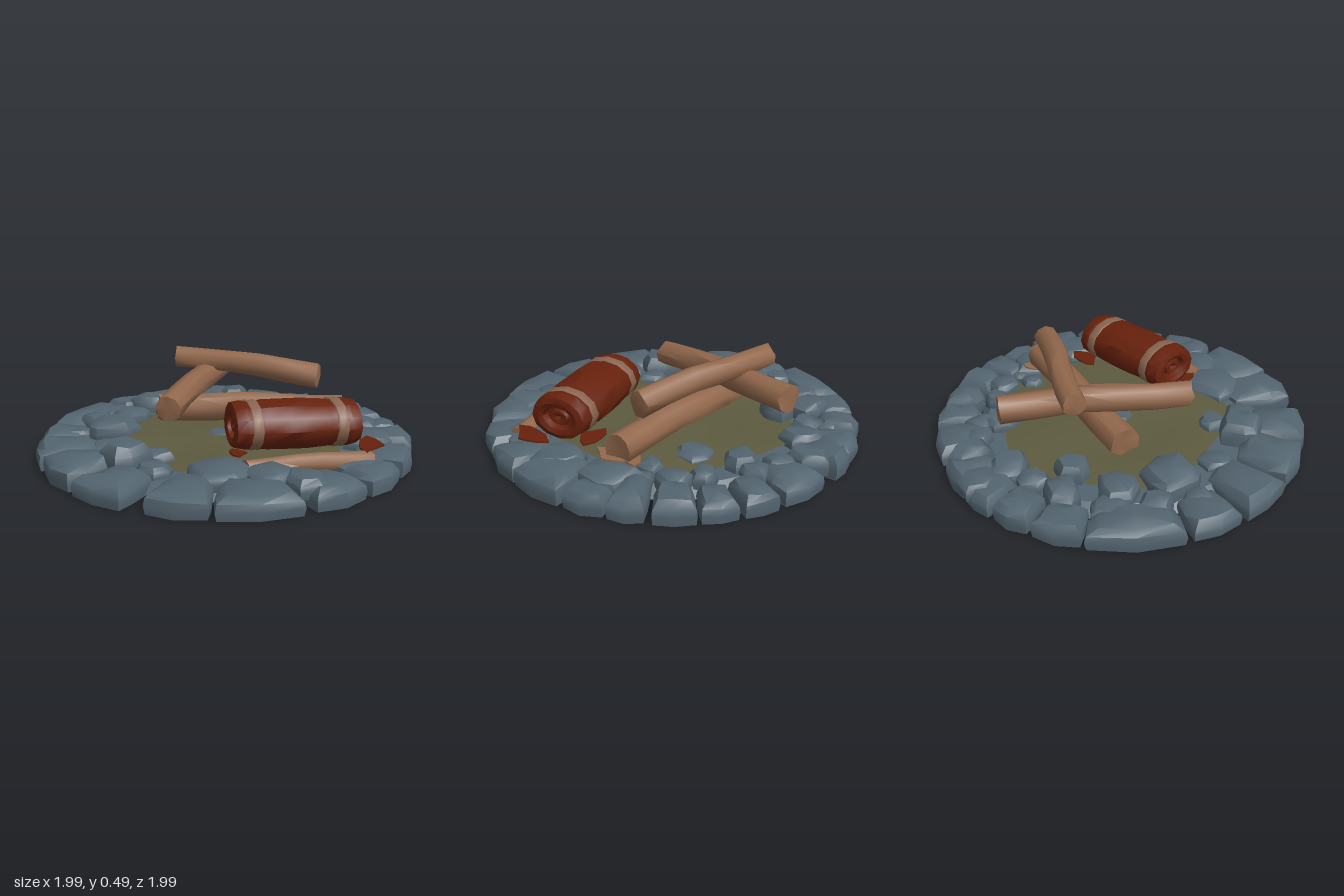
import * as THREE from 'three';
import { toCreasedNormals } from 'three/addons/utils/BufferGeometryUtils.js';

const mat = (name, color, side = THREE.FrontSide) => {
  const m = new THREE.MeshStandardMaterial({ color, side });
  m.name = name;
  return m;
};
const V = (x, y, z) => new THREE.Vector3(x, y, z);

// repeatable noise in -1..1 for a position
function noise(x, y, z) {
  const s = Math.sin(Math.round(x * 1e3) * 12.99 + Math.round(y * 1e3) * 78.23 + Math.round(z * 1e3) * 37.72) * 4375.85;
  return (s - Math.floor(s)) * 2 - 1;
}

// rock: outline of [x, z] points stacked in scaled rings, closed with a domed top
function rockGeometry(outline, base, top) {
  const n = outline.length;
  const cx = outline.reduce((s, p) => s + p[0], 0) / n;
  const cz = outline.reduce((s, p) => s + p[1], 0) / n;
  const h = top - base;
  const pos = [], index = [];
  for (const [scale, t] of [[0.96, 0], [1, 0.36], [0.96, 0.66], [0.72, 0.92]]) {
    outline.forEach(([x, z]) => {
      const wobble = t > 0.5 ? noise(x, t, z) * 0.08 * h : 0;
      pos.push(cx + (x - cx) * scale, base + h * t + wobble, cz + (z - cz) * scale);
    });
  }
  pos.push(cx, top, cz, cx, base, cz);
  for (let i = 0; i < n; i++) {
    const j = (i + 1) % n;
    for (let r = 0; r < 3; r++) {
      const a = r * n, b = a + n;
      index.push(a + i, b + i, a + j, b + i, b + j, a + j);
    }
    index.push(4 * n, 3 * n + j, 3 * n + i, 4 * n + 1, i, j);
  }
  const g = new THREE.BufferGeometry();
  g.setAttribute('position', new THREE.Float32BufferAttribute(pos, 3));
  g.setIndex(index);
  return toCreasedNormals(g, 0.75);
}

// place an object so its local y runs from a to b and its local z points up
function alongAxis(obj, a, b) {
  const dir = b.clone().sub(a).normalize();
  const side = dir.clone().cross(V(0, 1, 0)).normalize();
  obj.quaternion.setFromRotationMatrix(new THREE.Matrix4().makeBasis(side, dir, side.clone().cross(dir)));
  obj.position.copy(a).lerp(b, 0.5);
  return obj;
}

export function createModel() {
  const model = new THREE.Group();
  model.name = 'campsite';
  const stone = mat('slate stone', 0x53646f);
  const earth = mat('olive earth', 0x5c5a3e);
  const wood = mat('brown wood', 0x92684c);
  const cloth = mat('rust red cloth', 0x66210c);
  const strapMat = mat('tan strap', 0x876450, THREE.DoubleSide);
  const add = (parent, name, geometry, material) => {
    const m = new THREE.Mesh(geometry, material);
    m.name = name;
    parent.add(m);
    return m;
  };

  // stone bed underneath
  add(model, 'base', new THREE.CylinderGeometry(0.73, 0.79, 0.05, 40).translate(0, 0.03, 0), stone);

  // uneven earth floor with a ragged edge, narrower on the stony -x side
  const floor = new THREE.RingGeometry(0.001, 0.7, 22, 5).rotateX(-Math.PI / 2);
  const fp = floor.attributes.position;
  for (let i = 0; i < fp.count; i++) {
    const x = fp.getX(i), z = fp.getZ(i), r = Math.hypot(x, z);
    const s = 0.93 + 0.12 * Math.min(0, x / r + 0.1) + 0.05 * Math.sin(Math.atan2(z, x) * 5);
    const y = 0.078 + 0.013 * Math.sin(x * 6 + 1) * Math.cos(z * 7) - (r > 0.65 ? 0.015 : 0);
    fp.setXYZ(i, x * s, y, z * s);
  }
  floor.computeVertexNormals();
  add(model, 'earthFloor', floor, earth);

  // outer ring: start angle, end angle, inner radius (degrees from +x towards +z)
  const ring = [
    [77, 93, 0.79], [60, 75, 0.74], [41.5, 59, 0.7], [28, 40, 0.8], [17, 27, 0.74], [3.5, 15, 0.8],
    [-7.5, 2.5, 0.81], [-19, -9, 0.78], [-36, -21, 0.76], [-53, -42, 0.78], [-64.5, -54, 0.79],
    [-77.5, -66, 0.8], [-93, -79, 0.81], [-121, -94, 0.8], [-138, -123, 0.77], [-156.5, -140, 0.7],
    [-176.5, -158.5, 0.71], [163.5, 181, 0.71], [140, 157, 0.66], [115.5, 138.5, 0.71], [95, 112, 0.72],
  ];
  const outer = new THREE.Group();
  outer.name = 'outerStones';
  model.add(outer);
  ring.forEach(([a0, a1, inner], k) => {
    const at = (t, r) => {
      const a = THREE.MathUtils.degToRad(a0 + (a1 - a0) * t);
      return [Math.cos(a) * r, Math.sin(a) * r];
    };
    const rim = 0.985 + 0.01 * noise(k, a0, 1);
    const outline = [at(0, inner), at(-0.03, 0.88), at(0, rim), at(0.5, 1), at(1, rim), at(1.03, 0.88),
      at(0.97, inner), at(0.5, inner - 0.03)];
    add(outer, 'outerStone', rockGeometry(outline, 0, 0.112 + 0.013 * noise(k, a1, 2)), stone);
  });

  // inner rocks: x, z, radius, top
  const rocks = [
    [-0.38, -0.5, 0.15, 0.15], [-0.65, -0.04, 0.12, 0.185], [-0.5, 0.03, 0.08, 0.12], [-0.34, -0.7, 0.09, 0.13],
    [-0.14, -0.63, 0.12, 0.13], [0.1, -0.75, 0.11, 0.155], [0.11, -0.55, 0.085, 0.15], [0.28, -0.66, 0.09, 0.12],
    [0.42, -0.6, 0.11, 0.13], [0.65, -0.55, 0.1, 0.14], [0.66, -0.4, 0.08, 0.12], [0.6, -0.22, 0.09, 0.13],
    [0.71, -0.03, 0.07, 0.12], [0.47, -0.02, 0.1, 0.1], [0.72, 0.12, 0.09, 0.12], [0.58, 0.2, 0.07, 0.11],
    [0.62, 0.41, 0.15, 0.13], [0.43, 0.62, 0.13, 0.13], [-0.47, 0.42, 0.17, 0.13], [-0.32, 0.61, 0.13, 0.13],
    [-0.27, 0.77, 0.11, 0.13], [0.0, -0.02, 0.08, 0.1], [-0.64, 0.15, 0.1, 0.11], [0.52, -0.74, 0.1, 0.12],
    [-0.55, -0.3, 0.09, 0.1], [0.1, 0.76, 0.14, 0.11], [-0.13, -0.78, 0.1, 0.11], [0.71, -0.27, 0.08, 0.11],
    [-0.52, -0.6, 0.08, 0.1], [0.28, -0.78, 0.08, 0.1], [0.68, 0.26, 0.07, 0.1],
  ];
  const innerGroup = new THREE.Group();
  innerGroup.name = 'innerRocks';
  model.add(innerGroup);
  rocks.forEach(([x, z, r, top], k) => {
    const outline = [];
    for (let i = 0; i < 7; i++) {
      const a = (i + 0.3 * noise(k, i, 5)) / 7 * Math.PI * 2 + k;
      const d = r * (1 + 0.16 * noise(i, k, 9));
      outline.push([x + Math.cos(a) * d, z + Math.sin(a) * d]);
    }
    add(innerGroup, 'innerRock', rockGeometry(outline, 0.035, top), stone);
  });

  // gnarled logs
  function log(name, a, b, r0, r1) {
    const len = a.distanceTo(b);
    const g = new THREE.CylinderGeometry(r1, r0, len, 9, 5);
    const p = g.attributes.position;
    for (let i = 0; i < p.count; i++) {
      const x = p.getX(i), y = p.getY(i), z = p.getZ(i);
      const s = 1 + 0.08 * noise(x, y, z);
      p.setXYZ(i, x * s + 0.008 * Math.sin(y * 9), y + 0.012 * noise(z, x, y), z * s + 0.008 * Math.cos(y * 7));
    }
    alongAxis(add(model, name, toCreasedNormals(g, 0.9), wood), a, b);
  }
  log('lowerLog', V(-0.11, 0.183, -0.4), V(0.57, 0.183, 0.36), 0.078, 0.078);
  log('middleLog', V(-0.38, 0.293, -0.04), V(0.5, 0.345, -0.48), 0.068, 0.072);
  log('upperLog', V(0.11, 0.43, -0.49), V(0.49, 0.37, 0.25), 0.06, 0.068);
  log('halfBuriedLog', V(-0.36, 0.085, 0.48), V(0.17, 0.085, 0.81), 0.052, 0.052);

  // rolled blanket: oval lathe with a coiled recess at each end
  const roll = new THREE.Group();
  roll.name = 'bedroll';
  const end = [[0, 0.285], [0.03, 0.305], [0.048, 0.305], [0.056, 0.28], [0.074, 0.28], [0.084, 0.315], [0.112, 0.325], [0.148, 0.315]];
  const side = [[0.162, 0.26], [0.153, 0.215], [0.162, 0.15], [0.167, 0.05]];
  const half = [...end, ...side];
  const profile = [...half.map(([r, y]) => new THREE.Vector2(r, -y)), ...half.reverse().map(([r, y]) => new THREE.Vector2(r, y))];
  const blanket = new THREE.LatheGeometry(profile, 12);
  const bp = blanket.attributes.position;
  for (let i = 0; i < bp.count; i++) {
    const s = 1 + 0.025 * noise(bp.getX(i), bp.getY(i), bp.getZ(i));
    bp.setXYZ(i, bp.getX(i) * s, bp.getY(i), bp.getZ(i) * s);
  }
  add(roll, 'blanket', toCreasedNormals(blanket, 0.6), cloth);
  for (const y of [-0.215, 0.215]) {
    const band = [[0.155, -0.028], [0.166, -0.022], [0.162, 0], [0.166, 0.022], [0.155, 0.028]];
    add(roll, 'strap', new THREE.LatheGeometry(band.map(([r, d]) => new THREE.Vector2(r, y + d)), 12), strapMat);
  }
  roll.scale.z = 0.74;
  model.add(alongAxis(roll, V(-0.24, 0.238, 0.28), V(0.28, 0.222, 0.62)));

  // ragged scraps lying on the stones: x, z, width, depth, turn
  const scrap = (name, material, x, z, w, d, turn) => {
    const g = new THREE.CylinderGeometry(0.5, 0.5, 0.008, 9);
    const p = g.attributes.position;
    for (let i = 0; i < p.count; i++) {
      const s = 1 + 0.3 * noise(p.getX(i), 0, p.getZ(i));
      p.setXYZ(i, p.getX(i) * s * w, p.getY(i), p.getZ(i) * s * d);
    }
    g.computeVertexNormals();
    const m = add(model, name, g, material);
    m.rotation.y = turn;
    m.position.set(x, 0.132, z);
  };
  scrap('clothScrap', cloth, 0.26, 0.75, 0.22, 0.12, 0.4);
  scrap('clothScrap', cloth, 0.33, 0.46, 0.17, 0.12, -0.9);
  scrap('clothScrap', cloth, -0.3, 0.37, 0.1, 0.08, 0.8);
  scrap('barkScrap', wood, 0.54, 0.38, 0.18, 0.1, 0.5);
  scrap('barkScrap', wood, 0.6, 0.29, 0.1, 0.09, -0.5);

  return model;
}
